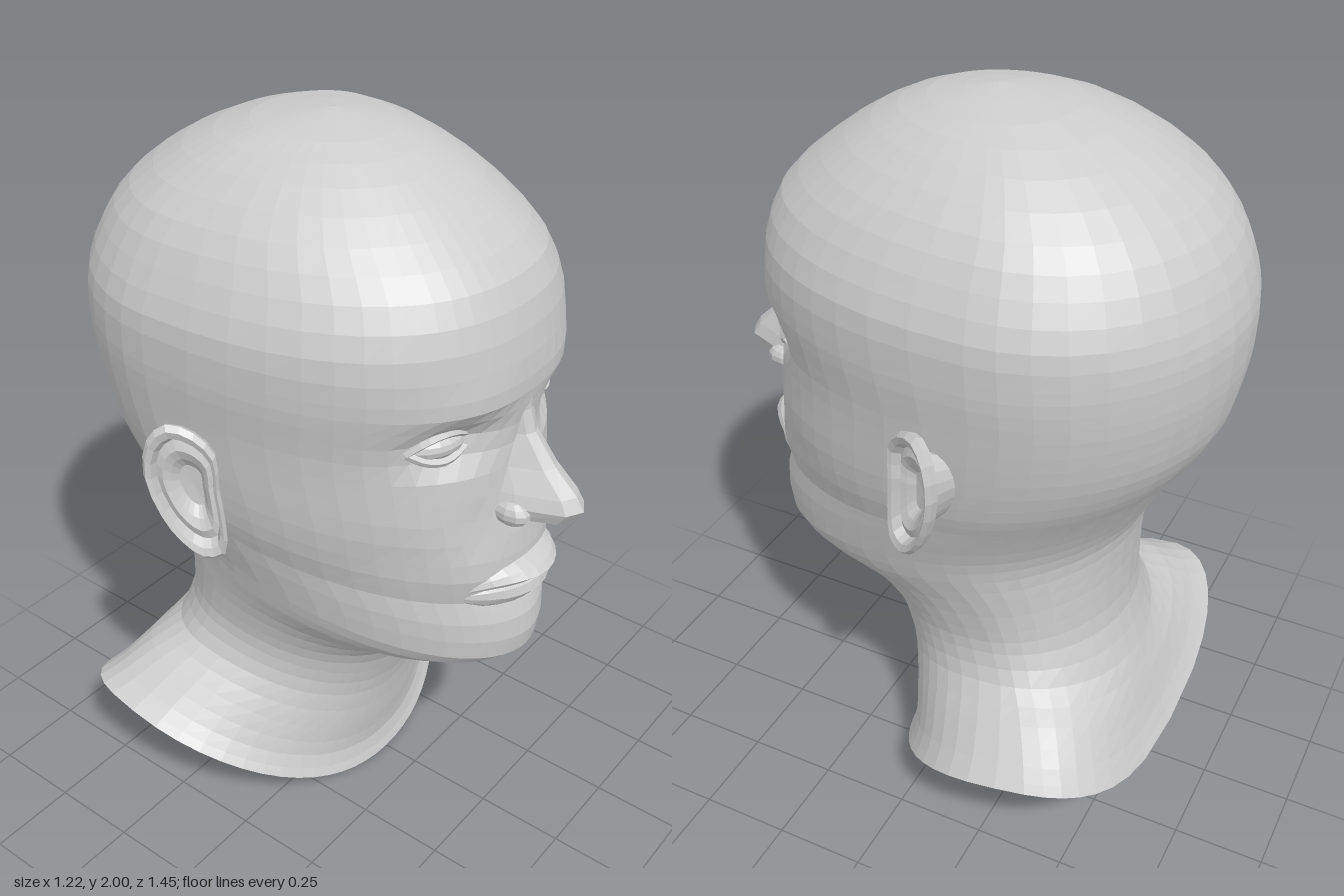
import * as THREE from 'three';

const material = new THREE.MeshStandardMaterial({ color: 0xcccccc, flatShading: true, side: THREE.DoubleSide });

function part(name, geometry) {
  const mesh = new THREE.Mesh(geometry, material);
  mesh.name = name;
  return mesh;
}

// Skins rows of [x, y, z] points; closed joins the last column to the first
function loft(name, rows, closed) {
  const n = rows[0].length, index = [];
  for (let j = 0; j < rows.length - 1; j++) {
    for (let i = 0; i < (closed ? n : n - 1); i++) {
      const a = j * n + i, b = j * n + (i + 1) % n;
      index.push(a, b, b + n, a, b + n, a + n);
    }
  }
  const geometry = new THREE.BufferGeometry();
  geometry.setAttribute('position', new THREE.Float32BufferAttribute(rows.flat(2), 3));
  geometry.setIndex(index);
  geometry.computeVertexNormals();
  return part(name, geometry);
}

// Tilted rings, neck to crown: front y, front z, back y, back z, half width
const RINGS = [
  [0, 0.14, 0.16, -0.63, 0.59],
  [0.07, 0.125, 0.22, -0.595, 0.53],
  [0.17, 0.14, 0.32, -0.555, 0.45],
  [0.3, 0.16, 0.42, -0.515, 0.375],
  [0.4, 0.19, 0.55, -0.475, 0.345],
  [0.5, 0.24, 0.67, -0.47, 0.345],
  [0.57, 0.35, 0.78, -0.475, 0.36],
  [0.605, 0.5, 0.87, -0.49, 0.378],
  [0.66, 0.595, 0.95, -0.53, 0.395],
  [0.78, 0.6, 1.03, -0.575, 0.425],
  [0.85, 0.575, 1.08, -0.605, 0.442],
  [0.93, 0.585, 1.14, -0.645, 0.465],
  [1.05, 0.575, 1.22, -0.685, 0.485],
  [1.18, 0.55, 1.3, -0.705, 0.5],
  [1.3, 0.54, 1.38, -0.718, 0.512],
  [1.4, 0.55, 1.45, -0.722, 0.522],
  [1.48, 0.555, 1.52, -0.722, 0.525],
  [1.6, 0.54, 1.6, -0.705, 0.52],
  [1.72, 0.495, 1.7, -0.665, 0.475],
  [1.82, 0.39, 1.8, -0.585, 0.41],
  [1.91, 0.26, 1.9, -0.44, 0.3],
  [1.97, 0.12, 1.97, -0.26, 0.175],
  [2, -0.049, 2, -0.051, 0.001],
];

// Smooth ring between two listed rings
function ringAt(t) {
  const last = RINGS.length - 1;
  const i = Math.min(Math.floor(t), last - 1), f = t - i;
  const at = (k) => RINGS[Math.max(0, Math.min(last, k))];
  return RINGS[i].map((b, k) => {
    const a = at(i - 1)[k], c = at(i + 1)[k], d = at(i + 2)[k];
    return b + 0.5 * f * (c - a + f * (2 * a - 5 * b + 4 * c - d + f * (3 * (b - c) + d - a)));
  });
}

const bump = (v, centre, spread) => Math.exp(-(((v - centre) / spread) ** 2));
const signedPower = (v, p) => Math.sign(v) * Math.abs(v) ** p;

// Soft dents and bulges of the face: |x|, y, x spread, y spread, depth
const FORMS = [
  [0.21, 1.34, 0.09, 0.055, -0.065], // eye socket
  [0.2, 1.455, 0.13, 0.03, 0.012], // brow
  [0.33, 1.0, 0.1, 0.1, -0.02], // cheek hollow
  [0.16, 1.08, 0.06, 0.09, -0.015], // beside the nose
];

function buildHead() {
  const columns = 48, steps = (RINGS.length - 1) * 2, rows = [];
  for (let j = 0; j <= steps; j++) {
    const [yf, zf, yb, zb, w] = ringAt(j / 2);
    const zc = zb + 0.39 * (zf - zb);
    // Narrow at the chin, squarer at the brow and the back of the shoulders
    const frontPower = 2.1 - 0.25 * bump(yf, 0.75, 0.2) + 0.2 * bump(yf, 1.6, 0.25);
    const backPower = 2 + 1.2 * Math.max(0, 1 - yf / 0.3);
    const lift = 0.21 * Math.max(0, 1 - yf / 0.5); // raised shoulders
    const row = [];
    for (let i = 0; i < columns; i++) {
      const u = (i / columns) * Math.PI * 2;
      const a = u - 0.42 * Math.sin(u); // finer towards the face
      const s = Math.sin(a), c = Math.cos(a), p = 2 / (c > 0 ? frontPower : backPower);
      const x = w * signedPower(s, p);
      let z = zc + (c > 0 ? zf - zc : zc - zb) * signedPower(c, p);
      const y = yf + (yb - yf) * (zf - z) / (zf - zb) + lift * (x / w) ** 2;
      if (z > 0) {
        for (const [fx, fy, sx, sy, depth] of FORMS) {
          z += depth * bump(Math.abs(x), fx, sx) * bump(y, fy, sy);
        }
      }
      row.push([x, y, z]);
    }
    rows.push(row);
  }
  return loft('headAndNeck', rows, true);
}

function buildNose() {
  // y, ridge z, half width, base z, from the underside up
  const profile = [
    [1.085, 0.55, 0.06, 0.5], [1.09, 0.62, 0.09, 0.49], [1.11, 0.695, 0.115, 0.48],
    [1.145, 0.722, 0.122, 0.48], [1.18, 0.7, 0.11, 0.48], [1.24, 0.635, 0.088, 0.47],
    [1.32, 0.57, 0.07, 0.46], [1.38, 0.552, 0.07, 0.46], [1.45, 0.55, 0.09, 0.5],
  ];
  const across = [[-1, 0], [-0.75, 0.42], [-0.36, 0.9], [0, 1], [0.36, 0.9], [0.75, 0.42], [1, 0]];
  return loft('nose', profile.map(([y, ridge, w, base]) =>
    across.map(([x, f]) => [x * w, y, base + (ridge - base) * f])), false);
}

// Profile of y, z at the middle, tapering to the corners of the mouth
function buildLip(name, profile) {
  return loft(name, profile.map(([y, z]) => {
    const row = [];
    for (let i = 0; i <= 12; i++) {
      const s = i / 6 - 1;
      row.push([0.205 * s, 0.885 + (y - 0.885) * (1 - s ** 4), 0.475 + (z - 0.475) * (1 - s * s)]);
    }
    return row;
  }), false);
}

function buildEye(side) {
  const eye = new THREE.Group();
  eye.name = side > 0 ? 'leftEye' : 'rightEye';
  const ball = part('eyeball', new THREE.SphereGeometry(1, 14, 8));
  ball.scale.set(0.08, 0.036, 0.045);
  eye.add(ball);
  // Lids follow the almond outline
  for (const [name, h] of [['upperLid', 0.042], ['lowerLid', -0.034]]) {
    const points = [-1, -0.55, 0, 0.55, 1].map((s) =>
      new THREE.Vector3(0.092 * s, h * (1 - s * s), 0.005 + 0.03 * (1 - s * s)));
    eye.add(part(name, new THREE.TubeGeometry(new THREE.CatmullRomCurve3(points), 10, 0.012, 5)));
  }
  eye.position.set(0.215 * side, 1.34, 0.425);
  eye.rotation.y = 0.35 * side;
  return eye;
}

function buildEar(side) {
  // Outline in the plane of the ear: backwards, up
  const outline = [
    [-0.07, 0.12], [-0.02, 0.18], [0.05, 0.2], [0.1, 0.15], [0.115, 0.05], [0.08, -0.07],
    [0.03, -0.15], [-0.03, -0.195], [-0.08, -0.18], [-0.085, -0.08], [-0.075, 0.02],
  ].map(([u, v]) => new THREE.Vector3(u, v, 0));
  const points = new THREE.CatmullRomCurve3(outline, true).getPoints(22).slice(0, -1);
  if (side > 0) points.reverse();
  // Scale and depth of each loop: root, back, rim, fold, inner bowl
  const layers = [[0.5, -0.1], [0.62, -0.035], [0.95, -0.015], [1, 0.005], [0.93, 0.018],
    [0.82, 0.012], [0.74, -0.012], [0.6, -0.004], [0.45, -0.015], [0.3, -0.035], [0, -0.038]];
  const rows = layers.map(([k, depth]) => points.map((p) => [
    side * (0.54 + 0.51 * p.x * k + 0.86 * depth),
    1.155 + p.y * k,
    -0.083 - 0.86 * p.x * k + 0.51 * depth,
  ]));
  return loft(side > 0 ? 'leftEar' : 'rightEar', rows, true);
}

export function createModel() {
  const model = new THREE.Group();
  model.name = 'headBust';
  model.add(buildHead(), buildNose());
  model.add(buildLip('lowerLip', [[0.82, 0.555], [0.845, 0.6], [0.872, 0.622], [0.897, 0.615], [0.908, 0.58]]));
  model.add(buildLip('upperLip', [[0.908, 0.58], [0.916, 0.625], [0.932, 0.642], [0.95, 0.625], [0.972, 0.57]]));
  for (const side of [1, -1]) {
    model.add(buildEye(side), buildEar(side));
    const wing = part('nostrilWing', new THREE.SphereGeometry(1, 10, 7));
    wing.scale.set(0.032, 0.036, 0.055);
    wing.position.set(0.083 * side, 1.125, 0.565);
    model.add(wing);
  }
  return model;
}
